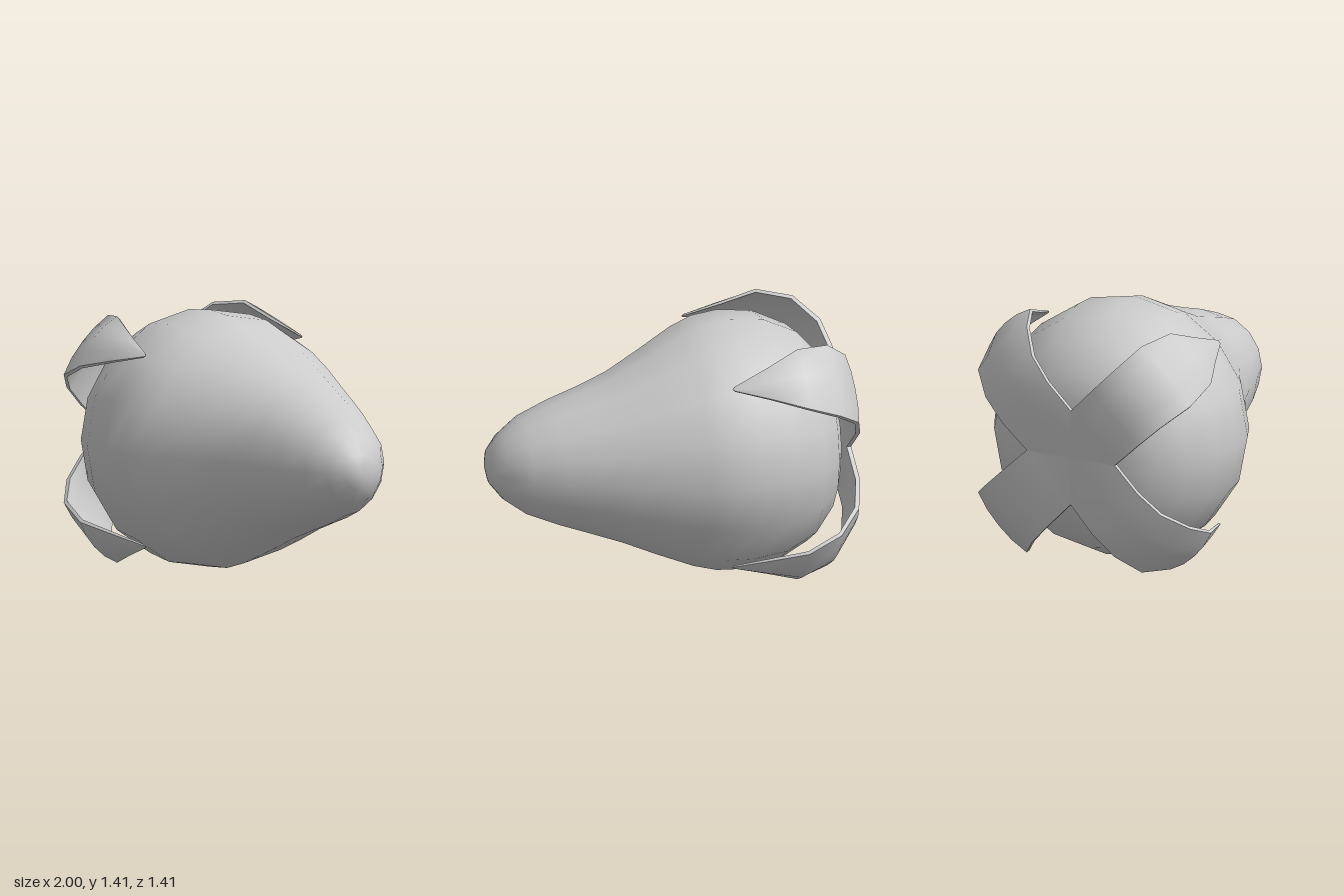
import * as THREE from 'three';
import { mergeVertices, toCreasedNormals } from 'three/addons/utils/BufferGeometryUtils.js';

const AXIS_Y = 0.715;
const material = new THREE.MeshStandardMaterial({ color: 0xcccccc });
const leafMaterial = new THREE.MeshStandardMaterial({ color: 0xcccccc, side: THREE.DoubleSide });

// Fruit profile along x: [x, radius, sideways shift in z]
const PROFILE = [
  [-0.94, 0, 0], [-0.935, 0.16, 0], [-0.92, 0.31, 0], [-0.87, 0.45, 0],
  [-0.75, 0.59, 0], [-0.57, 0.68, 0], [-0.38, 0.705, 0], [-0.23, 0.692, -0.008],
  [-0.1, 0.65, -0.025], [0.1, 0.556, -0.055], [0.29, 0.465, -0.07], [0.46, 0.4, -0.065],
  [0.63, 0.34, -0.05], [0.8, 0.268, -0.038], [0.91, 0.185, -0.03], [0.975, 0.1, -0.015], [1, 0, 0],
];

// Leaf stations from the stem outward: [x, distance from axis, half width, bulge, thickness]
const LEAF = [
  [-0.985, 0, 0.19, 0, 0.035], [-0.99, 0.2, 0.19, 0, 0.035], [-1.0, 0.39, 0.195, 0.004, 0.035],
  [-0.96, 0.56, 0.2, 0.012, 0.035], [-0.83, 0.71, 0.21, 0.022, 0.03], [-0.64, 0.785, 0.175, 0.03, 0.028],
  [-0.45, 0.765, 0.09, 0.018, 0.022], [-0.26, 0.745, 0.012, 0, 0.012], [-0.25, 0.738, 0, 0, 0],
];

// Turned body, bent slightly sideways
function bodyGeometry() {
  const lathe = new THREE.LatheGeometry(PROFILE.map(([x, r]) => new THREE.Vector2(r, x)), 16);
  const pos = lathe.attributes.position;
  for (let i = 0; i < pos.count; i++) {
    pos.setZ(i, pos.getZ(i) + PROFILE[i % PROFILE.length][2]);
  }
  lathe.rotateZ(-Math.PI / 2);
  lathe.deleteAttribute('uv');
  lathe.deleteAttribute('normal');
  const geo = mergeVertices(lathe, 1e-5);
  geo.computeVertexNormals();
  return geo;
}

// Thick curved strip lofted through closed cross-sections
function leafGeometry() {
  const across = [-1, -0.5, 0, 0.5, 1];
  const ring = across.length * 2;
  const points = [];
  const index = [];
  LEAF.forEach(([x, r, half, bulge, thick], i) => {
    const a = LEAF[Math.max(i - 1, 0)];
    const b = LEAF[Math.min(i + 1, LEAF.length - 1)];
    const n = new THREE.Vector2(-(b[1] - a[1]), b[0] - a[0]).normalize();
    const put = (t, depth) => {
      const h = bulge * (1 - t * t) - depth;
      points.push(x + n.x * h, r + n.y * h, t * half);
    };
    across.forEach((t) => put(t, Math.abs(t) === 1 ? thick * 0.15 : 0));
    [...across].reverse().forEach((t) => put(t, Math.abs(t) === 1 ? thick * 0.85 : thick));
    if (i === LEAF.length - 1) return;
    for (let j = 0; j < ring; j++) {
      const p = i * ring + j;
      const q = i * ring + ((j + 1) % ring);
      index.push(p, q, p + ring, q, q + ring, p + ring);
    }
  });
  const geo = new THREE.BufferGeometry();
  geo.setAttribute('position', new THREE.Float32BufferAttribute(points, 3));
  geo.setIndex(index);
  return toCreasedNormals(geo, 0.9);
}

export function createModel() {
  const model = new THREE.Group();
  model.name = 'fruit';

  const body = new THREE.Mesh(bodyGeometry(), material);
  body.name = 'fruitBody';
  body.position.y = AXIS_Y;
  model.add(body);

  // Four leaves crossing at the stem end
  const calyx = new THREE.Group();
  calyx.name = 'leafCrown';
  calyx.position.y = AXIS_Y;
  const leaf = leafGeometry();
  for (let k = 0; k < 4; k++) {
    const mesh = new THREE.Mesh(leaf, leafMaterial);
    mesh.name = `leaf${k + 1}`;
    mesh.rotation.x = Math.PI / 4 + (k * Math.PI) / 2;
    calyx.add(mesh);
  }
  model.add(calyx);
  return model;
}
